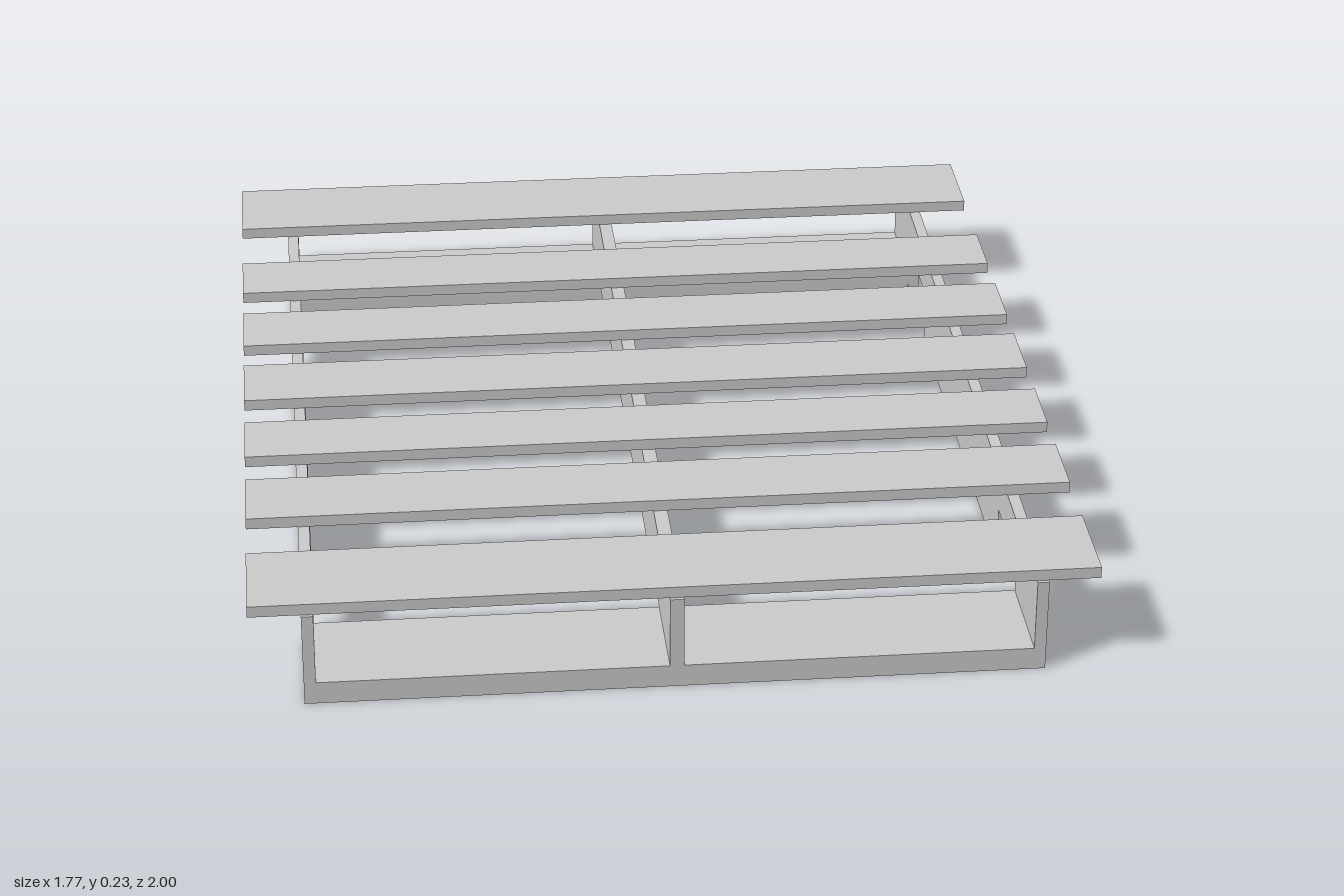
import * as THREE from 'three';

const material = new THREE.MeshStandardMaterial({ color: 0xcccccc, flatShading: true });

// Box given by its [min, max] range on each axis
function board(name, [x0, x1], [y0, y1], [z0, z1]) {
  const geometry = new THREE.BoxGeometry(x1 - x0, y1 - y0, z1 - z0);
  const mesh = new THREE.Mesh(geometry, material);
  mesh.position.set((x0 + x1) / 2, (y0 + y1) / 2, (z0 + z1) / 2);
  mesh.name = name;
  return mesh;
}

// Side beam: a (z, y) outline with two fork notches, extruded along x
function notchedStringer(name, x0, x1) {
  const outline = [
    [-1, 0], [-0.76, 0], [-0.76, 0.12], [-0.5, 0.12], [-0.5, 0],
    [0.54, 0], [0.54, 0.12], [0.763, 0.12], [0.763, 0], [1, 0],
    [1, 0.21], [-1, 0.21],
  ].map(([z, y]) => new THREE.Vector2(-z, y));
  const geometry = new THREE.ExtrudeGeometry(new THREE.Shape(outline), {
    depth: x1 - x0, bevelEnabled: false,
  });
  geometry.rotateY(Math.PI / 2);
  const mesh = new THREE.Mesh(geometry, material);
  mesh.position.x = x0;
  mesh.name = name;
  return mesh;
}

export function createModel() {
  const pallet = new THREE.Group();
  pallet.name = 'pallet';

  // Deck slats, wide at both ends
  const slats = [
    [-0.996, -0.78], [-0.592, -0.434], [-0.329, -0.165], [-0.069, 0.1],
    [0.202, 0.36], [0.46, 0.631], [0.775, 0.992],
  ];
  slats.forEach((z, i) => pallet.add(board(`deckSlat${i + 1}`, [-0.887, 0.885], [0.21, 0.235], z)));

  // Side beams and the shallower centre beam, which rests on the bottom boards
  pallet.add(notchedStringer('leftStringer', 0.75, 0.775));
  pallet.add(notchedStringer('rightStringer', -0.777, -0.752));
  pallet.add(board('centreStringer', [-0.017, 0.013], [0.05, 0.21], [-1, 1]));

  // Bottom boards between the side beams
  pallet.add(board('frontBottomBoard', [-0.752, 0.75], [0, 0.05], [0.763, 1]));
  pallet.add(board('backBottomBoard', [-0.752, 0.75], [0, 0.05], [-1, -0.763]));

  return pallet;
}
